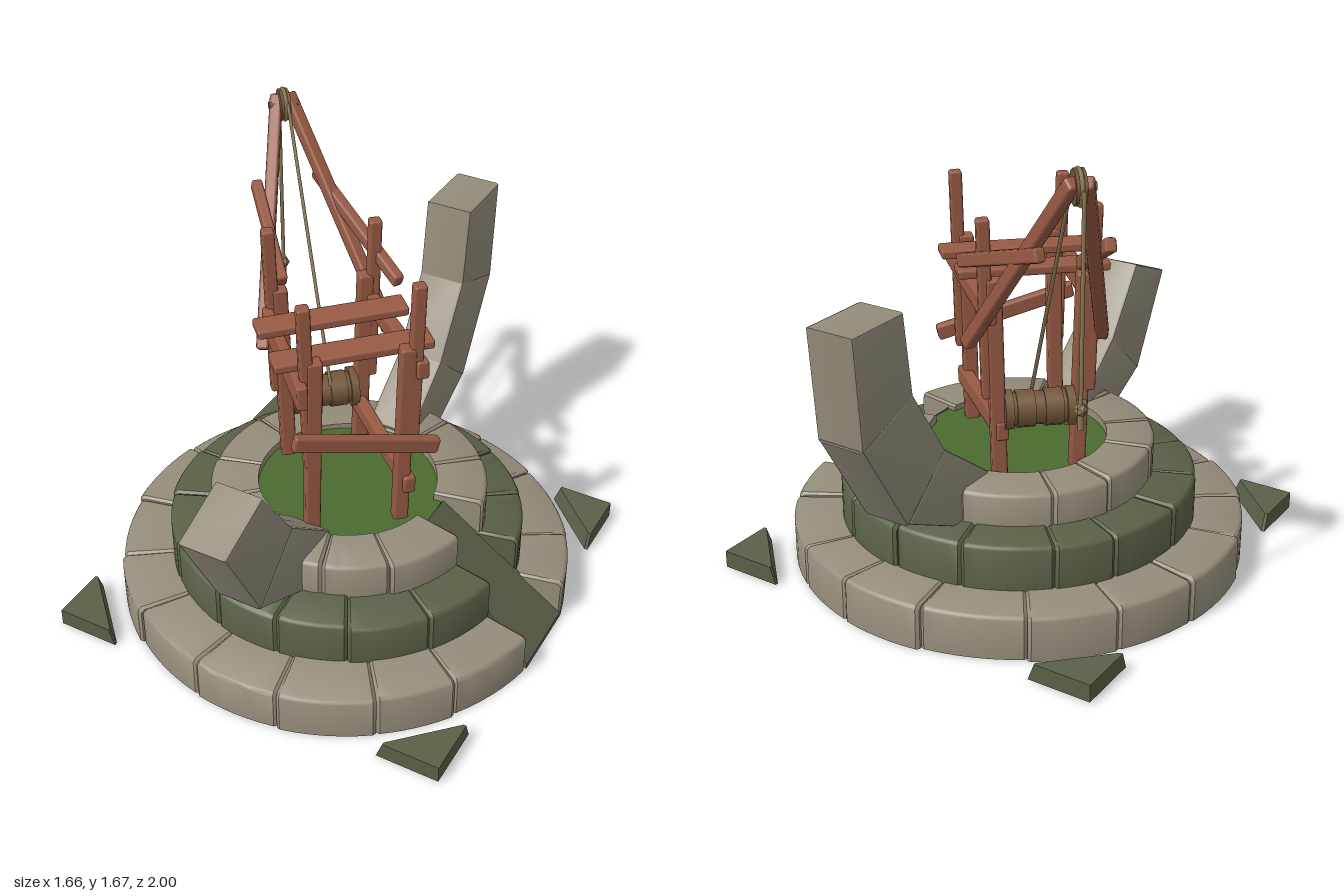
import * as THREE from 'three';
import { toCreasedNormals } from 'three/addons/utils/BufferGeometryUtils.js';
import { RoundedBoxGeometry } from 'three/addons/geometries/RoundedBoxGeometry.js';

const material = (name, color) =>
  Object.assign(new THREE.MeshStandardMaterial({ color, side: THREE.DoubleSide }), { name });
const V = (x, y, z) => new THREE.Vector3(x, y, z);

export function createModel() {
  const model = new THREE.Group();
  model.name = 'ruinedWell';
  const paleStone = material('pale stone', 0x958d7b);
  const mossStone = material('mossy stone', 0x5a6047);
  const grass = material('grass', 0x4c6b2f);
  const wood = material('red wood', 0x985a44);
  const drumWood = material('brown wood', 0x74573a);
  const ropeMat = material('rope', 0x8c7d55);
  const CZ = 0.055; // centre of the stone rings

  let seed = 7;
  const rand = () => (seed = (seed * 16807) % 2147483647) / 2147483647;
  const jitter = (n) => (rand() - 0.5) * 2 * n;

  function add(name, geometry, mat, parent = model) {
    const mesh = new THREE.Mesh(geometry, mat);
    mesh.name = name;
    parent.add(mesh);
    return mesh;
  }
  function group(name) {
    const g = new THREE.Group();
    g.name = name;
    model.add(g);
    return g;
  }

  // Hollow ring block, open below and inside: a chamfered wall-and-top profile swept from angle a to b
  function ringBlock(inner, outer, y0, y1, lip, a, b) {
    const c = 0.014, e = 0.012 / outer;
    const profile = (d) => [
      [outer - d, y0], [outer - d, y1 - c - d], [outer - c * 0.4 - d, y1 - c * 0.4 - d],
      [outer - c - d, y1 - d], [inner, y1 - d], [inner, y1 - lip],
    ];
    const rows = [[a, profile(0.008).map(([r]) => [r, y0])], [a, profile(0.008)]];
    for (let i = 0; i <= 6; i++) rows.push([a + e + ((b - a - 2 * e) * i) / 6, profile(0)]);
    rows.push([b, profile(0.008)], [b, profile(0.008).map(([r]) => [r, y0])]);
    const n = rows[0][1].length, pos = [], index = [];
    rows.forEach(([t, pts], i) => pts.forEach(([r, y], j) => {
      pos.push(r * Math.cos(t), y, -r * Math.sin(t));
      if (i && j) {
        const p = (i - 1) * n + j - 1, q = i * n + j - 1;
        index.push(p, q, p + 1, q, q + 1, p + 1);
      }
    }));
    const geo = new THREE.BufferGeometry();
    geo.setAttribute('position', new THREE.Float32BufferAttribute(pos, 3));
    geo.setIndex(index);
    return toCreasedNormals(geo, 0.6);
  }

  // Stone tiers, each with a gap at +x for the ramp
  function tier(name, inner, outer, y0, y1, lip, count, mat, z) {
    const g = group(name);
    g.position.z = z;
    const start = 0.185, step = (Math.PI * 2 - 2 * start) / count;
    const cuts = [];
    for (let i = 0; i <= count; i++) cuts.push(start + i * step + (i % count ? jitter(step * 0.12) : 0));
    for (let i = 0; i < count; i++) {
      const r = outer + jitter(0.008), top = y1 + jitter(0.007);
      add('stoneBlock', ringBlock(inner, r, y0, top, lip, cuts[i], cuts[i + 1]), mat, g);
    }
  }
  tier('lowerTier', 0.63, 0.838, 0.015, 0.178, 0.01, 15, paleStone, 0.062);
  tier('middleTier', 0.49, 0.658, 0.165, 0.338, 0.01, 14, mossStone, 0.055);
  tier('upperTier', 0.33, 0.508, 0.32, 0.468, 0.05, 11, paleStone, 0.05);

  // Grass floor
  add('grassFloor', new THREE.CylinderGeometry(0.36, 0.36, 0.02, 40), grass).position.set(0, 0.43, CZ);

  // Ramp: a thin sloping slab that widens outwards
  const slope = new THREE.Shape([[0.82, 0.015], [0.82, 0.035], [0.36, 0.445], [0.36, 0.40], [0.79, 0.015]]
    .map(([x, y]) => new THREE.Vector2(x, y)));
  const rampGeo = new THREE.ExtrudeGeometry(slope, { depth: 2, bevelEnabled: false });
  rampGeo.translate(0, 0, -1);
  const rp = rampGeo.attributes.position;
  for (let i = 0; i < rp.count; i++) rp.setZ(i, rp.getZ(i) * (0.008 + rp.getX(i) * 0.182));
  rampGeo.computeVertexNormals();
  add('ramp', rampGeo, mossStone).position.z = CZ;

  // Curved stone arms, side profiles given as [z, y]
  function arm(name, blocks) {
    const g = group(name), bevel = 0.012;
    for (const pts of blocks) {
      const geo = new THREE.ExtrudeGeometry(new THREE.Shape(pts.map(([z, y]) => new THREE.Vector2(-z, y))), {
        depth: 0.184 - 2 * bevel, bevelEnabled: true, bevelSegments: 2,
        bevelSize: bevel, bevelThickness: bevel, bevelOffset: -bevel,
      });
      geo.rotateY(Math.PI / 2).translate(bevel - 0.092, 0, 0);
      add('armBlock', toCreasedNormals(geo, 0.6), paleStone, g);
    }
  }
  arm('frontArm', [
    [[0.34, 0.46], [0.595, 0.667], [0.812, 0.472], [0.52, 0.32]],
    [[0.59, 0.66], [0.77, 0.92], [1.0, 0.83], [0.808, 0.465]],
  ]);
  arm('backArm', [
    [[-0.27, 0.46], [-0.533, 0.655], [-0.75, 0.468], [-0.45, 0.32]],
    [[-0.528, 0.65], [-0.702, 0.92], [-0.97, 0.825], [-0.748, 0.46]],
    [[-0.70, 0.912], [-0.74, 1.213], [-1.0, 1.213], [-0.968, 0.815]],
  ]);

  // Corner stones: right triangles with a slightly leaning inner face and blunt tips
  for (const sx of [-1, 1]) for (const sz of [-1, 1]) {
    const tri = new THREE.Shape([[0, 0], [-0.235, 0], [-0.235, 0.012], [-0.012, 0.235], [0, 0.235]]
      .map(([x, y]) => new THREE.Vector2(x * sx, y * sz)));
    const geo = new THREE.ExtrudeGeometry(tri, { depth: 0.065, bevelEnabled: false });
    const p = geo.attributes.position;
    for (let i = 0; i < p.count; i++) {
      if (p.getZ(i) > 0.03) p.setXY(i, p.getX(i) * 0.9, p.getY(i) * 0.9);
    }
    geo.rotateX(-Math.PI / 2).computeVertexNormals();
    add('cornerStone', geo, mossStone).position.set(0.773 * sx, 0.02, CZ + 0.775 * sz);
  }

  // Timber beam between two points
  const tower = group('timberTower');
  function beam(name, a, b, w, h, up = V(0, 1, 0)) {
    const mesh = add(name, new RoundedBoxGeometry(w, h, a.distanceTo(b), 1, 0.01), wood, tower);
    mesh.position.copy(a).lerp(b, 0.5);
    mesh.up.copy(up);
    mesh.lookAt(b);
  }
  const across = V(0.73, 0, -0.68);

  // Posts: a lower half and a lashed upper half set outwards; [foot x, z, top x, z, side, height]
  for (const [x, z, tx, tz, s, top] of [
    [-0.29, -0.01, -0.305, 0.0, -1, 1.41], [-0.10, -0.22, -0.085, -0.235, 1, 1.385],
    [0.01, 0.335, 0.03, 0.335, -1, 1.385], [0.25, 0.12, 0.265, 0.11, 1, 1.41],
  ]) {
    beam('lowerPost', V(x, 0.41, z), V(tx, 1.17, tz), 0.055, 0.055, across);
    const ox = 0.026 * s, oz = -0.024 * s;
    beam('upperPost', V(tx + ox * 0.6, 0.73, tz + oz * 0.4), V(tx + ox, top, tz + oz), 0.046, 0.046, across);
  }

  // Rails, deck planks and brace
  beam('leftRail', V(-0.34, 1.05, 0.03), V(0.03, 1.055, 0.41), 0.04, 0.095);
  beam('rightRail', V(-0.11, 1.05, -0.285), V(0.325, 1.085, 0.105), 0.045, 0.07);
  beam('lowRail', V(-0.13, 0.61, -0.24), V(0.3, 0.6, 0.135), 0.045, 0.07);
  beam('deckPlank', V(0.115, 1.135, -0.165), V(-0.27, 1.13, 0.22), 0.1, 0.035);
  beam('deckPlank', V(0.285, 1.135, -0.025), V(-0.115, 1.13, 0.37), 0.1, 0.035);
  beam('diagonalBrace', V(0.015, 0.9, 0.455), V(0.37, 0.77, 0.07), 0.04, 0.06);

  // Crane legs and struts
  beam('craneLeg', V(-0.585, 1.65, -0.475), V(-0.345, 0.925, 0.06), 0.045, 0.05);
  beam('craneLeg', V(-0.555, 1.65, -0.505), V(0.0, 0.925, -0.27), 0.045, 0.05);
  beam('craneStrut', V(-0.56, 1.39, -0.275), V(-0.29, 1.195, 0.0), 0.04, 0.05);
  beam('craneStrut', V(-0.42, 1.385, -0.47), V(0.07, 1.195, -0.2), 0.04, 0.05);

  // Round part laid along a direction
  function round(name, r0, r1, length, sides, mat, pos, dir, parent) {
    const mesh = add(name, new THREE.CylinderGeometry(r1, r0, length, sides), mat, parent);
    mesh.position.copy(pos);
    mesh.quaternion.setFromUnitVectors(V(0, 1, 0), dir.clone().normalize());
  }

  // Winding drum on its axle, between the two rear posts
  const winch = group('winch');
  const mid = V(-0.2, 0.68, -0.125);
  const along = (d) => mid.clone().addScaledVector(across, d);
  round('axle', 0.022, 0.022, 0.34, 8, drumWood, mid, across, winch);
  round('drum', 0.06, 0.06, 0.2, 12, drumWood, mid, across, winch);
  for (const d of [-0.05, 0.05]) round('ropeCoil', 0.067, 0.067, 0.065, 12, drumWood, along(d), across, winch);
  for (const s of [-1, 1]) round('drumFlange', 0.075, 0.075, 0.03, 8, drumWood, along(s * 0.11), across, winch);

  // Pulley at the crane tip
  const pulley = group('pulley');
  const tip = V(-0.55, 1.625, -0.465);
  round('pulleyWheel', 0.058, 0.058, 0.035, 10, drumWood, tip, across, pulley);
  round('pulleyAxle', 0.015, 0.015, 0.11, 8, drumWood, tip, across, pulley);
  const rim = add('pulleyRope', new THREE.TorusGeometry(0.056, 0.008, 6, 16), ropeMat, pulley);
  rim.position.copy(tip);
  rim.quaternion.setFromUnitVectors(V(0, 0, 1), across.clone().normalize());

  // Ropes, with a knot and frayed tail on the hanging one
  const ropes = group('ropes');
  function rope(name, a, b, r = 0.007) {
    round(name, r, r, a.distanceTo(b), 6, ropeMat, a.clone().lerp(b, 0.5), b.clone().sub(a), ropes);
  }
  const hang = (y) => V(-0.597, y, -0.51);
  rope('hangingRope', hang(1.63), hang(0.9));
  rope('ropeTail', hang(0.91), hang(0.85), 0.01);
  rope('windingRope', V(-0.51, 1.65, -0.43), V(-0.16, 0.72, -0.11));
  add('ropeKnot', new THREE.IcosahedronGeometry(0.024, 0), ropeMat, ropes).position.copy(hang(0.92));

  return model;
}
